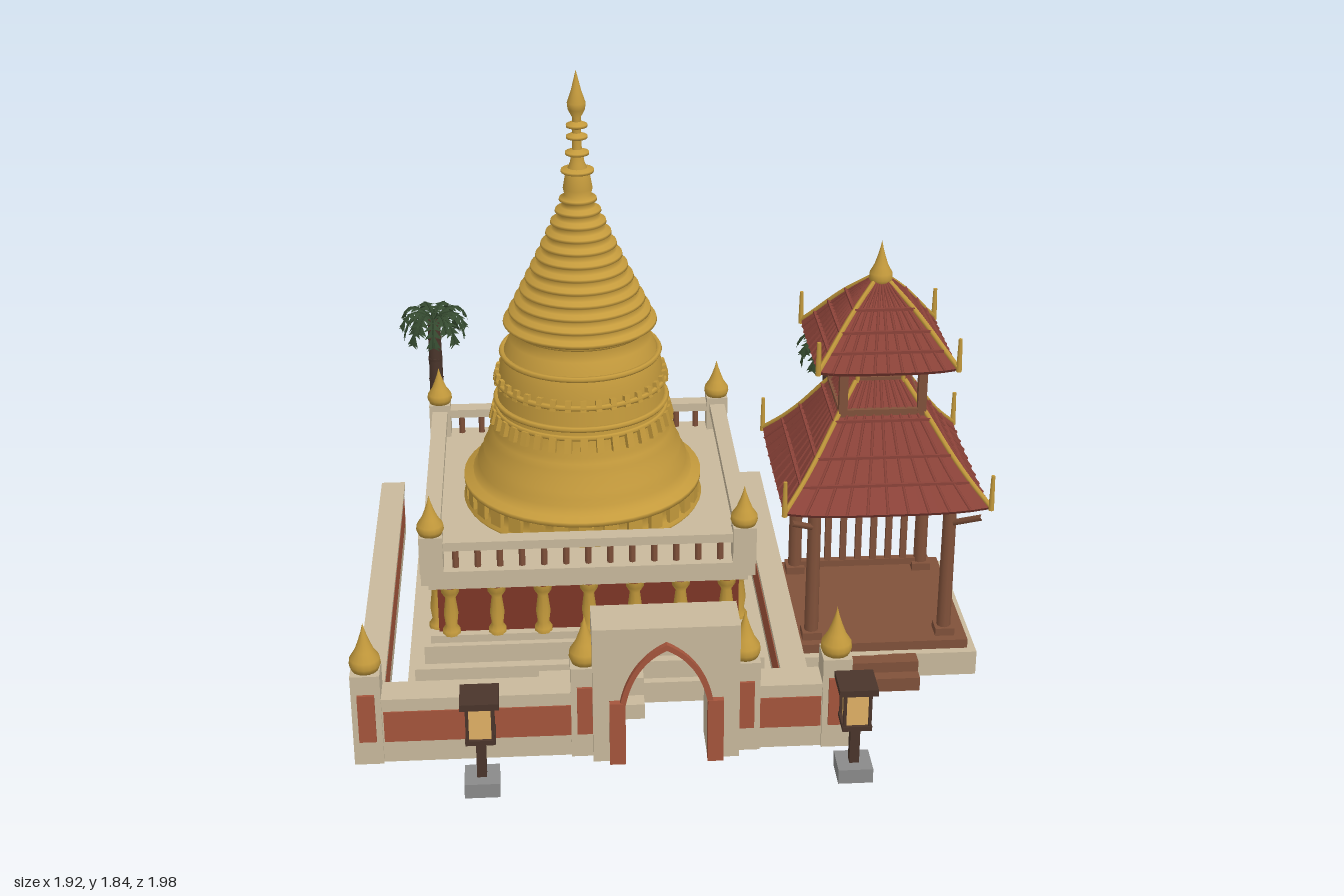
import * as THREE from 'three';

const mat = (c, double) => new THREE.MeshStandardMaterial({ color: c, side: double ? THREE.DoubleSide : THREE.FrontSide });
const cream = mat(0xc8b99c), gold = mat(0xc49a3c), redWall = mat(0x7d3626), panel = mat(0xa4553c);
const wood = mat(0x80513a), tile = mat(0x8c4339, true), dark = mat(0x4a352b), leaf = mat(0x34492f, true);
const stone = mat(0x8a8a8a), glow = mat(0xe0b065);
const V = (x, y, z) => new THREE.Vector3(x, y, z);

function add(parent, name, geo, material, x = 0, y = 0, z = 0) {
  const m = new THREE.Mesh(geo, material);
  m.name = name;
  m.position.set(x, y, z);
  parent.add(m);
  return m;
}
// box standing on y0
const box = (p, name, m, x, y0, z, w, h, d) => add(p, name, new THREE.BoxGeometry(w, h, d), m, x, y0 + h / 2, z);
const cyl = (p, name, m, x, y0, z, r0, r1, h, n = 10) => add(p, name, new THREE.CylinderGeometry(r1, r0, h, n), m, x, y0 + h / 2, z);
const lathe = (p, name, m, pts, x, y, z, n = 16) =>
  add(p, name, new THREE.LatheGeometry(pts.map(a => new THREE.Vector2(a[0], a[1])), n), m, x, y, z);
function group(parent, name, x = 0, y = 0, z = 0) {
  const g = new THREE.Group();
  g.name = name;
  g.position.set(x, y, z);
  parent.add(g);
  return g;
}
const spire = (p, x, y, z, r, h) => lathe(p, 'goldSpire', gold,
  [[0, 0], [r * 0.85, 0], [r, h * 0.12], [r * 0.95, h * 0.25], [r * 0.6, h * 0.42], [r * 0.35, h * 0.62], [r * 0.14, h * 0.82], [0, h]], x, y, z);
const tube = (p, name, m, pts, r, seg = 10) =>
  add(p, name, new THREE.TubeGeometry(new THREE.CatmullRomCurve3(pts), seg, r, 5), m);

// square terrace: steps, columned red wall, balustrade
function terrace(root) {
  const g = group(root, 'terrace', -0.263, 0, -0.022);
  [[0.555, 0, 0.07], [0.53, 0.07, 0.06], [0.5, 0.13, 0.06], [0.48, 0.19, 0.025]].forEach(([h, y, t]) =>
    box(g, 'baseStep', cream, 0, y, 0, h * 2, t, h * 2));
  box(g, 'redWall', redWall, 0, 0.21, 0, 0.91, 0.17, 0.91);
  box(g, 'ledgeLower', cream, 0, 0.375, 0, 0.96, 0.03, 0.96);
  box(g, 'ledge', cream, 0, 0.4, 0, 1.0, 0.045, 1.0);
  box(g, 'entryStepLow', cream, 0, 0, 0.58, 0.315, 0.05, 0.125);
  box(g, 'entryStepHigh', cream, 0, 0, 0.555, 0.315, 0.11, 0.07);
  for (let s = 0; s < 4; s++) {
    const side = group(g, 'terraceSide');
    side.rotation.y = s * Math.PI / 2;
    for (let i = -3; i <= 3; i++)
      lathe(side, 'wallColumn', gold, [[0.028, 0], [0.028, 0.015], [0.018, 0.03], [0.023, 0.07], [0.016, 0.125], [0.028, 0.145], [0.03, 0.165]], i * 0.139, 0.212, 0.458, 10);
    box(side, 'topRail', cream, 0, 0.51, 0.467, 0.93, 0.028, 0.05);
    for (let i = -6; i <= 6; i++) cyl(side, 'baluster', wood, i * 0.066, 0.445, 0.467, 0.011, 0.011, 0.068, 6);
    box(side, 'cornerPost', cream, 0.467, 0.44, 0.467, 0.07, 0.12, 0.07);
    spire(side, 0.467, 0.56, 0.467, 0.041, 0.125);
  }
}

// bell-shaped golden tower
function stupa(root) {
  const g = group(root, 'stupa', -0.265, 0, -0.018);
  const pts = [[0.37, 0.44], [0.378, 0.455], [0.36, 0.465], [0.355, 0.505], [0.375, 0.515], [0.375, 0.53], [0.345, 0.535], [0.345, 0.55],
    [0.325, 0.56], [0.33, 0.585], [0.31, 0.6], [0.312, 0.625], [0.293, 0.64], [0.296, 0.665], [0.28, 0.68], [0.28, 0.7], [0.27, 0.72],
    [0.262, 0.78], [0.258, 0.85], [0.25, 0.91], [0.237, 0.95], [0.22, 0.99], [0.198, 1.03]];
  // stacked rings narrowing upward
  for (let i = 0; i < 12; i++) {
    const t = i / 11, y = 1.035 + t * 0.39, r = 0.18 * Math.pow(1 - t, 1.1) + 0.058;
    pts.push([r - 0.012, y], [r, y + 0.008], [r - 0.002, y + 0.016], [r - 0.018, y + 0.024]);
  }
  pts.push([0.045, 1.47], [0.036, 1.52], [0.022, 1.55], [0.014, 1.6], [0.013, 1.69], [0.026, 1.715], [0.028, 1.735], [0.016, 1.77], [0.006, 1.81], [0, 1.835]);
  lathe(g, 'bell', gold, pts, 0, 0, 0, 48);
  [[0.264, 0.76], [0.266, 0.79], [0.264, 0.86], [0.244, 0.945], [0.205, 1.03]].forEach(([r, y]) =>
    add(g, 'bellRing', new THREE.TorusGeometry(r, 0.009, 6, 48), gold, 0, y, 0).rotation.x = Math.PI / 2);
  [[0.05, 1.525], [0.036, 1.58], [0.032, 1.63], [0.032, 1.665]].forEach(([r, y]) =>
    lathe(g, 'spireDisc', gold, [[0.01, -0.012], [r, -0.004], [r, 0.004], [0.01, 0.014]], 0, y, 0, 20));
  // petal rows: [count, radius, y, width, height, tilt]
  [[30, 0.363, 0.488, 0.045, 0.05, 0], [36, 0.277, 0.74, 0.022, 0.045, -0.25], [36, 0.262, 0.865, 0.018, 0.035, -0.2]].forEach(([n, r, y, w, h, tilt]) => {
    for (let i = 0; i < n; i++) {
      const a = i / n * Math.PI * 2;
      const m = add(g, 'petal', new THREE.BoxGeometry(w, h, 0.016), gold, r * Math.sin(a), y, r * Math.cos(a));
      m.rotation.set(tilt, a, 0, 'YXZ');
    }
  });
}

// side walls, front wall with posts, arched gate
function walls(root) {
  const g = group(root, 'enclosure');
  for (const x of [-0.912, 0.335]) {
    box(g, 'sideWall', cream, x, 0, 0.022, 0.07, 0.175, 1.3);
    box(g, 'sideWallCap', cream, x, 0.172, 0.022, 0.08, 0.017, 1.31);
    box(g, 'sideWallPanel', panel, x, 0.065, 0.03, 0.076, 0.088, 1.22);
  }
  for (const [a, b] of [[-0.9, -0.25], [0.14, 0.43]]) {
    const c = (a + b) / 2, w = b - a;
    box(g, 'frontWall', cream, c, 0, 0.755, w, 0.195, 0.08);
    box(g, 'frontWallCap', cream, c, 0.19, 0.755, w, 0.025, 0.095);
    box(g, 'frontWallPanel', panel, c, 0.07, 0.755, w - 0.06, 0.1, 0.088);
  }
  for (const x of [-0.917, -0.287, 0.178, 0.445]) {
    box(g, 'post', cream, x, 0, 0.757, 0.085, 0.295, 0.095);
    box(g, 'postPanel', panel, x, 0.08, 0.757, 0.05, 0.155, 0.112);
    spire(g, x, 0.295, 0.757, 0.046, 0.15);
  }
  const gate = group(g, 'gate', -0.055, 0, 0.695);
  // pointed arch outline of half width w, spring height s, apex y
  const arch = (sh, w, s, y) => {
    sh.moveTo(-w, s);
    sh.quadraticCurveTo(-w * 0.8, s + (y - s) * 0.72, 0, y);
    sh.quadraticCurveTo(w * 0.8, s + (y - s) * 0.72, w, s);
  };
  const body = new THREE.Shape();
  [[-0.2125, 0], [-0.2125, 0.44], [0.2125, 0.44], [0.2125, 0], [0.12, 0], [0.12, 0.21]].forEach(([x, y], i) => i ? body.lineTo(x, y) : body.moveTo(x, y));
  body.quadraticCurveTo(0.1, 0.335, 0, 0.38);
  body.quadraticCurveTo(-0.1, 0.335, -0.12, 0.21);
  body.lineTo(-0.12, 0);
  add(gate, 'gateBody', new THREE.ExtrudeGeometry(body, { depth: 0.14, bevelEnabled: false }), cream);
  const trim = new THREE.Shape();
  arch(trim, 0.135, 0.2, 0.395);
  trim.lineTo(0.118, 0.2);
  trim.quadraticCurveTo(0.094, 0.33, 0, 0.376);
  trim.quadraticCurveTo(-0.094, 0.33, -0.118, 0.2);
  add(gate, 'archTrim', new THREE.ExtrudeGeometry(trim, { depth: 0.02, bevelEnabled: false }), panel, 0, 0, 0.138);
  for (const s of [-1, 1]) box(gate, 'pilaster', panel, s * 0.142, 0, 0.145, 0.046, 0.205, 0.03);
}

// four-sided concave roof; profile runs from the eave inside edge upward as [half, y]
function roof(parent, profile, lift, spike) {
  const g = group(parent, 'tiledRoof');
  g.scale.z = 0.965;
  const eave = profile[0][0];
  const up = (h, u) => lift * Math.pow(Math.abs(u), 4) * Math.pow(h / eave, 3);
  const rows = [[0.04, profile[0][1] + 0.05], [eave - 0.01, profile[0][1] - 0.012], ...profile];
  for (let s = 0; s < 4; s++) {
    const side = group(g, 'roofSide');
    side.rotation.y = s * Math.PI / 2;
    const geo = new THREE.PlaneGeometry(2, 1, 12, rows.length - 1), p = geo.attributes.position;
    for (let i = 0; i < p.count; i++) {
      const [h, y] = rows[rows.length - 1 - Math.floor(i / 13)], u = p.getX(i);
      p.setXYZ(i, h * u, y + up(h, u), h);
    }
    geo.computeVertexNormals();
    const flat = geo.toNonIndexed();
    flat.computeVertexNormals();
    add(side, 'roofTiles', flat, tile);
    for (let i = -4; i <= 4; i++)
      tube(side, 'tileRib', tile, profile.map(([h, y]) => V(h * i / 5, y + up(h, i / 5), h)), 0.005);
    profile.slice(1, -1).forEach(([h, y]) => box(side, 'tileCourse', tile, 0, y - 0.002, h, h * 2, 0.009, 0.012));
    tube(side, 'ridge', gold, profile.map(([h, y]) => V(h, y + up(h, 1), h)), 0.008, 14);
    cyl(side, 'cornerSpike', gold, eave, profile[0][1] + lift - 0.01, eave, 0.009, 0.006, spike, 6);
  }
}

function pavilion(root) {
  const g = group(root, 'pavilion', 0.637, 0, 0.148);
  box(g, 'plinth', cream, 0, 0, 0, 0.6, 0.08, 0.58);
  box(g, 'floor', wood, 0, 0.08, 0, 0.55, 0.03, 0.53);
  box(g, 'stepHigh', wood, 0, 0, 0.31, 0.22, 0.08, 0.05);
  box(g, 'stepLow', wood, 0, 0, 0.345, 0.22, 0.045, 0.055);
  for (let s = 0; s < 4; s++) {
    const side = group(g, 'pavilionSide');
    side.rotation.y = s * Math.PI / 2;
    cyl(side, 'column', wood, 0.208, 0.11, 0.208, 0.022, 0.02, 0.48);
    box(side, 'columnFoot', wood, 0.208, 0.11, 0.208, 0.06, 0.025, 0.06);
    box(side, 'columnHead', wood, 0.208, 0.54, 0.208, 0.055, 0.02, 0.055);
    box(side, 'beam', wood, 0, 0.555, 0.208, 0.46, 0.03, 0.03);
    tube(side, 'eaveBracket', wood, [V(0.208, 0.49, 0.208), V(0.29, 0.55, 0.29)], 0.01, 1);
    box(side, 'upperPost', wood, 0.12, 0.8, 0.12, 0.026, 0.22, 0.026);
    box(side, 'upperBeam', wood, 0, 0.97, 0.12, 0.27, 0.025, 0.025);
    box(side, 'upperSill', wood, 0, 0.825, 0.12, 0.26, 0.02, 0.025);
    cyl(side, 'innerSpike', gold, 0.07, 0.88, 0.07, 0.008, 0.006, 0.07, 6);
  }
  box(g, 'screenTopRail', wood, 0, 0.495, -0.208, 0.42, 0.022, 0.024);
  box(g, 'screenBottomRail', wood, 0, 0.125, -0.208, 0.42, 0.022, 0.024);
  for (let i = -3; i <= 3; i++) box(g, 'screenSlat', wood, i * 0.05, 0.13, -0.208, 0.02, 0.37, 0.018);
  roof(g, [[0.312, 0.575], [0.255, 0.645], [0.205, 0.715], [0.145, 0.81], [0.075, 0.915]], 0.015, 0.115);
  roof(g, [[0.21, 0.995], [0.172, 1.045], [0.135, 1.095], [0.09, 1.15], [0.025, 1.215]], 0.01, 0.105);
  spire(g, 0, 1.205, 0, 0.036, 0.135);
}

function palm(root, x, z, h) {
  const g = group(root, 'palm', x, 0, z), n = 9;
  cyl(g, 'trunk', dark, 0, 0, 0, 0.031, 0.022, h - 0.04, 10);
  for (let i = 1; i < n; i++) cyl(g, 'trunkRing', dark, 0, i * (h - 0.04) / n, 0, 0.03 - i * 0.0007, 0.031 - i * 0.0007, 0.01, 10);
  for (let k = 0; k < 16; k++) {
    const high = k % 2, f = group(g, 'frond', 0, h - 0.045, 0);
    f.rotation.y = k / 16 * Math.PI * 2;
    const c = new THREE.QuadraticBezierCurve3(V(0, 0, 0), V(0, high ? 0.085 : 0.06, 0.085), V(0, high ? -0.01 : -0.065, high ? 0.122 : 0.105));
    add(f, 'frondStem', new THREE.TubeGeometry(c, 6, 0.003, 4), leaf);
    // paired leaflets along the stem
    for (let j = 1; j <= 6; j++) for (const s of [-1, 1]) {
      const a = c.getPoint(j / 6.5), b = c.getPoint(Math.min(1, j / 6.5 + 0.2)), w = 0.034 - Math.abs(j - 3) * 0.004;
      const tip = V(s * w, b.y - 0.012, b.z);
      const geo = new THREE.BufferGeometry().setFromPoints([a, V(0, b.y, b.z), tip]);
      geo.computeVertexNormals();
      add(f, 'leaflet', geo, leaf);
    }
  }
}

function lantern(root, x) {
  const g = group(root, 'lantern', x, 0, 0.943);
  box(g, 'lanternFoot', stone, 0, 0, 0, 0.1, 0.045, 0.1);
  box(g, 'lanternPole', dark, 0, 0.045, 0, 0.028, 0.13, 0.028);
  box(g, 'lanternTray', dark, 0, 0.17, 0, 0.085, 0.015, 0.085);
  box(g, 'lanternLight', glow, 0, 0.185, 0, 0.066, 0.1, 0.066);
  for (const a of [-1, 1]) for (const b of [-1, 1]) box(g, 'lanternFrame', dark, a * 0.036, 0.18, b * 0.036, 0.009, 0.115, 0.009);
  box(g, 'lanternRoof', dark, 0, 0.292, 0, 0.11, 0.02, 0.11);
}

export function createModel() {
  const root = new THREE.Group();
  root.name = 'templeCompound';
  terrace(root);
  stupa(root);
  walls(root);
  pavilion(root);
  palm(root, -0.757, -0.865, 0.75);
  palm(root, 0.647, -0.865, 0.61);
  lantern(root, -0.588);
  lantern(root, 0.477);
  return root;
}
